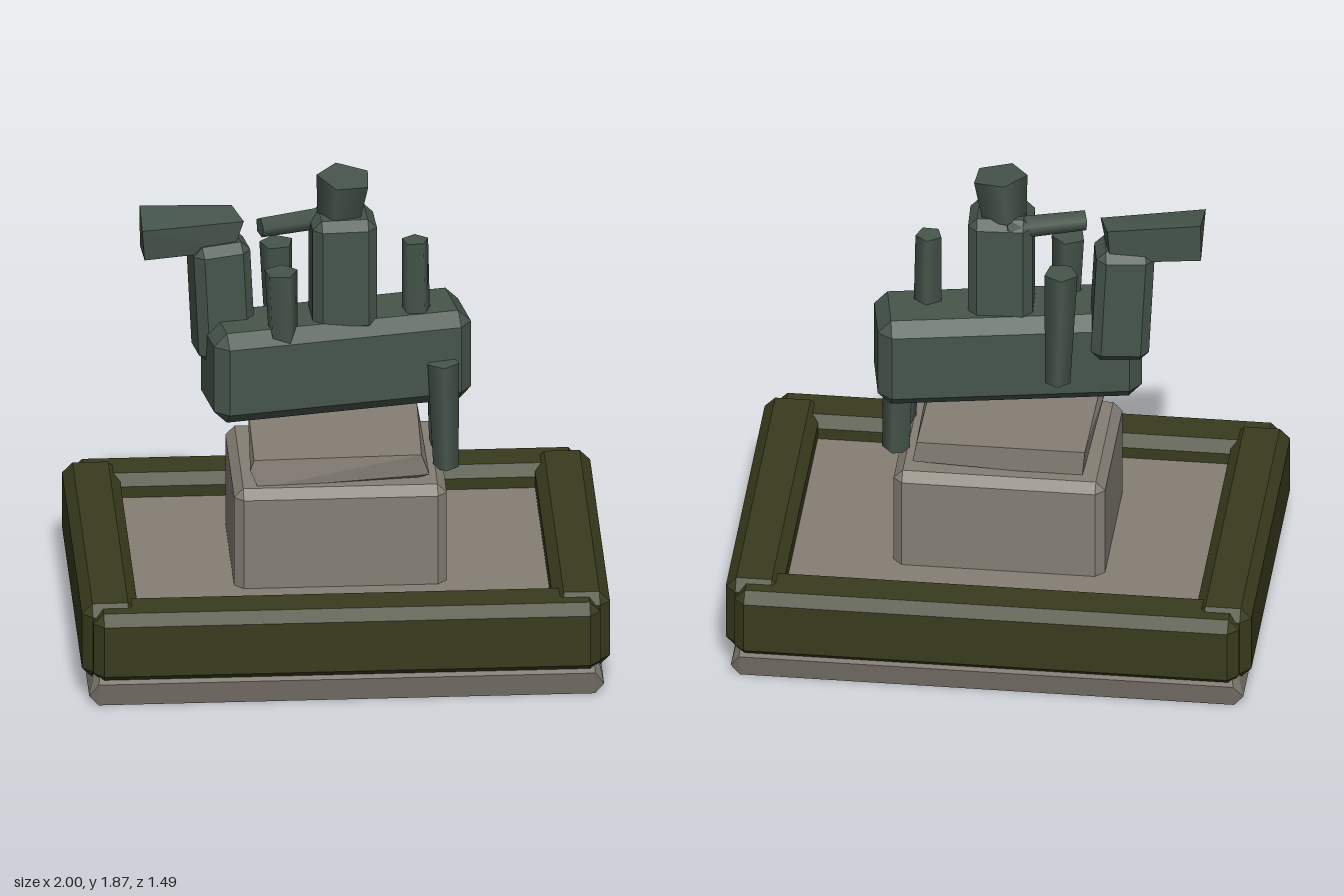
import * as THREE from 'three';
import { ConvexGeometry } from 'three/addons/geometries/ConvexGeometry.js';

const stone = new THREE.MeshStandardMaterial({ color: 0x857f75 });
const hedge = new THREE.MeshStandardMaterial({ color: 0x383b1d });
const bronze = new THREE.MeshStandardMaterial({ color: 0x46554b });

function mesh(name, geometry, material, pos = [0, 0, 0], rot = [0, 0, 0]) {
  const m = new THREE.Mesh(geometry, material);
  m.name = name;
  m.position.set(...pos);
  m.rotation.set(...rot);
  return m;
}

// Box with every edge cut at an angle
function chamferBox(w, h, d, c) {
  const pts = [];
  for (const x of [-w / 2, w / 2]) for (const y of [-h / 2, h / 2]) for (const z of [-d / 2, d / 2]) {
    const ix = x - Math.sign(x) * c, iy = y - Math.sign(y) * c, iz = z - Math.sign(z) * c;
    pts.push(new THREE.Vector3(x, iy, iz), new THREE.Vector3(ix, y, iz), new THREE.Vector3(ix, iy, z));
  }
  return new ConvexGeometry(pts);
}

const hull = (corners) => new ConvexGeometry(corners.map((p) => new THREE.Vector3(...p)));

// Five-sided tapered limb running between two points
function limb(name, from, to, rFrom, rTo, spin = 0) {
  const a = new THREE.Vector3(...from), b = new THREE.Vector3(...to);
  const dir = b.clone().sub(a);
  const g = new THREE.CylinderGeometry(rTo, rFrom, dir.length(), 5);
  g.rotateY(spin);
  const m = mesh(name, g, bronze);
  m.position.copy(a).add(b).multiplyScalar(0.5);
  m.quaternion.setFromUnitVectors(new THREE.Vector3(0, 1, 0), dir.normalize());
  return m;
}

export function createModel() {
  const model = new THREE.Group();
  model.name = 'equestrianMonument';

  // Base slab, flared just above the ground
  const slab = [];
  for (const [x, y, z] of [[0.94, 0, 0.69], [0.975, 0.04, 0.69], [0.94, 0.1, 0.725], [0.92, 0.3, 0.66]]) {
    for (const sx of [-1, 1]) for (const sz of [-1, 1]) slab.push([sx * x, y, sz * z]);
  }
  model.add(mesh('baseSlab', hull(slab), stone));

  // Hedges around the edge
  for (const s of [-1, 1]) {
    model.add(mesh(s > 0 ? 'frontHedge' : 'backHedge', chamferBox(1.92, 0.285, 0.215, 0.04), hedge, [0, 0.2425, s * 0.635]));
    model.add(mesh(s > 0 ? 'leftHedge' : 'rightHedge', chamferBox(0.215, 0.305, 1.36, 0.04), hedge, [s * 0.8925, 0.2475, 0]));
  }

  // Pedestal and its uneven cap
  model.add(mesh('pedestal', chamferBox(0.805, 0.44, 0.64, 0.035), stone, [0, 0.48, 0]));
  model.add(mesh('pedestalCap', hull([
    [-0.32, 0.8, -0.24], [0.32, 0.8, -0.24], [0.31, 0.8, 0.235], [-0.325, 0.8, 0.25],
    [-0.34, 0.76, 0.255], [0.34, 0.715, 0.23], [0.335, 0.715, -0.24], [-0.31, 0.69, -0.24],
    [-0.31, 0.69, 0.265], [0.3, 0.7, 0.22]]), stone));

  // Horse
  const horse = new THREE.Group();
  horse.name = 'horse';
  horse.add(mesh('body', chamferBox(1.0, 0.37, 0.31, 0.05), bronze, [0, 1.115, 0], [0, 0.18, 0]));
  horse.add(mesh('neck', chamferBox(0.22, 0.48, 0.19, 0.035), bronze, [-0.435, 1.365, -0.02], [0, 0.18, 0.05]));
  horse.add(mesh('head', hull([
    [-0.74, 1.73, -0.06], [-0.39, 1.705, -0.1], [-0.35, 1.69, 0.02], [-0.74, 1.7, 0.11],
    [-0.74, 1.57, -0.05], [-0.4, 1.56, -0.09], [-0.39, 1.57, 0.02], [-0.73, 1.57, 0.09]]), bronze));
  horse.add(limb('leftHindLeg', [0.41, 0.685, 0.09], [0.4, 1.12, 0.095], 0.05, 0.063));
  horse.add(limb('rightHindLeg', [0.41, 0.685, -0.095], [0.4, 1.12, -0.09], 0.058, 0.063, 0.4));
  horse.add(limb('tail', [0.305, 1.1, 0.0], [0.3, 1.585, -0.005], 0.058, 0.052, 0.6));
  model.add(horse);

  // Rider
  const rider = new THREE.Group();
  rider.name = 'rider';
  rider.add(mesh('torso', chamferBox(0.245, 0.46, 0.215, 0.035), bronze, [0.025, 1.48, 0.005], [0, 0.05, 0]));
  const skull = new THREE.CylinderGeometry(0.108, 0.088, 0.17, 5);
  skull.rotateY(0.9);
  rider.add(mesh('riderHead', skull, bronze, [0.025, 1.775, 0], [0.1, 0, -0.1]));
  rider.add(limb('arm', [0.0, 1.67, -0.065], [-0.29, 1.67, 0.03], 0.045, 0.04, 0.5));
  for (const s of [-1, 1]) {
    rider.add(limb(s > 0 ? 'leftForelimb' : 'rightForelimb', [-0.205, 1.05, s * 0.14], [-0.217, 1.53, s * 0.135], 0.05, 0.066, s * 0.5));
  }
  model.add(rider);
  return model;
}
